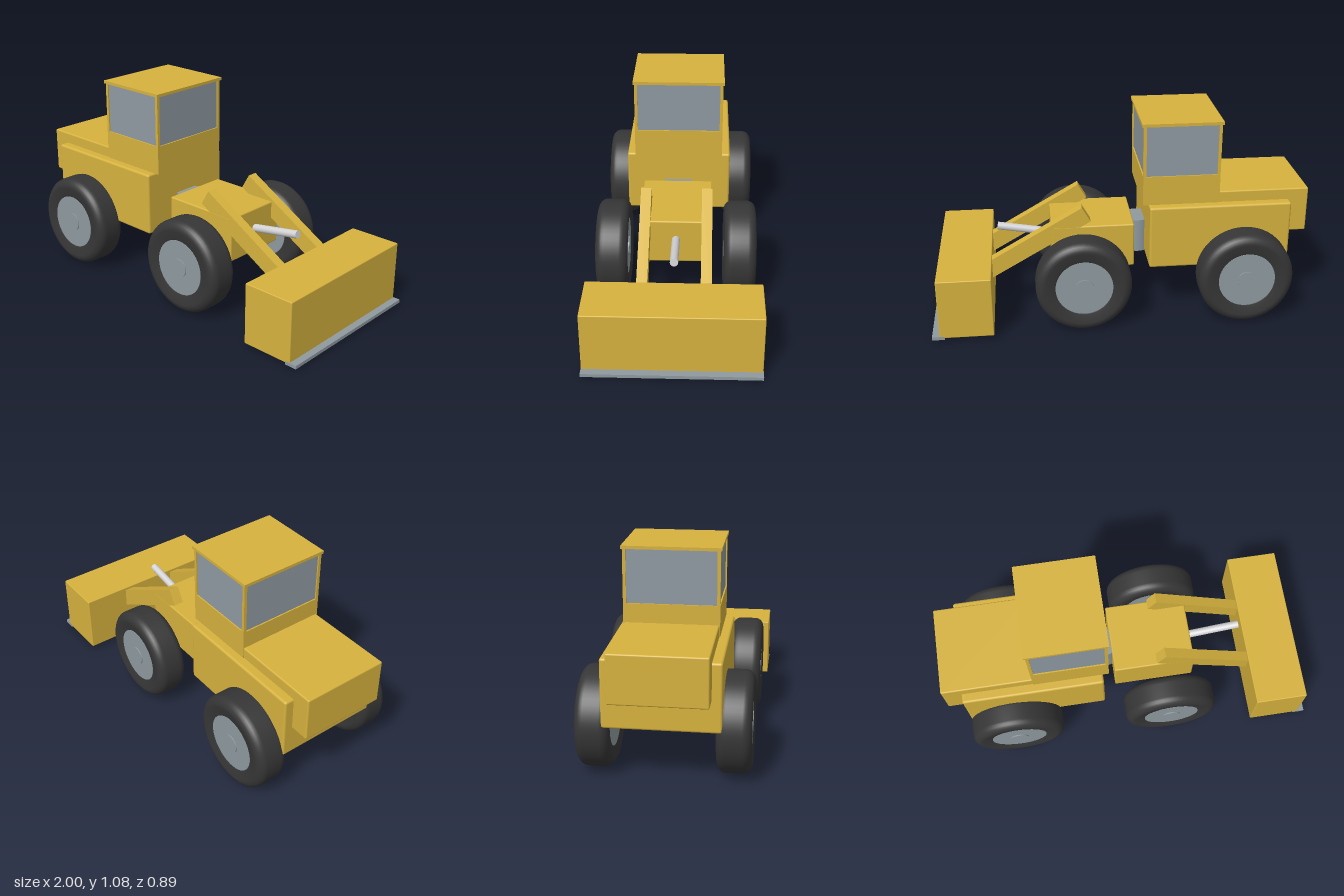
import * as THREE from 'three';
import { RoundedBoxGeometry } from 'three/addons/geometries/RoundedBoxGeometry.js';

const paint = (name, color) => {
  const m = new THREE.MeshStandardMaterial({ color });
  m.name = name;
  return m;
};

export function createModel() {
  const yellow = paint('yellow paint', 0xd6b23e);
  const rubber = paint('black rubber', 0x363636);
  const steel = paint('grey steel', 0x8f9a9f);
  const glass = paint('tinted glass', 0x8f9aa2);
  const chrome = paint('bright rod', 0xd2d2d4);

  const model = new THREE.Group();
  model.name = 'bucketTractor';

  const add = (name, geometry, material, parent = model) => {
    const mesh = new THREE.Mesh(geometry, material);
    mesh.name = name;
    parent.add(mesh);
    return mesh;
  };
  // Box from its x and y limits and half depth; optional rounded edges
  const block = (name, material, x0, x1, y0, y1, halfZ, round = 0) => {
    const size = [x1 - x0, y1 - y0, halfZ * 2];
    const geometry = round
      ? new RoundedBoxGeometry(...size, 3, round)
      : new THREE.BoxGeometry(...size);
    const mesh = add(name, geometry, material);
    mesh.position.set((x0 + x1) / 2, (y0 + y1) / 2, 0);
  };

  // Rear and front halves of the articulated chassis
  block('rearChassis', yellow, -0.9, -0.15, 0.29, 0.635, 0.285, 0.012);
  block('engineHood', yellow, -1, -0.48, 0.45, 0.695, 0.235, 0.008);
  block('frontChassis', yellow, -0.08, 0.36, 0.26, 0.505, 0.188, 0.008);
  const joint = add('articulationJoint', new THREE.CylinderGeometry(0.08, 0.08, 0.185, 32), steel);
  joint.position.set(-0.115, 0.383, 0);

  // Cab: solid base, glazed upper part, corner posts and roof
  block('cabBase', yellow, -0.522, -0.118, 0.635, 0.792, 0.239);
  block('cabGlass', glass, -0.515, -0.125, 0.785, 1.066, 0.232);
  for (const x of [-0.514, -0.126]) {
    for (const z of [-0.231, 0.231]) {
      const post = add('cabPost', new THREE.BoxGeometry(0.016, 0.28, 0.016), yellow);
      post.position.set(x, 0.928, z);
    }
  }
  block('cabRoof', yellow, -0.53, -0.11, 1.064, 1.08, 0.245);

  // Wheels: rounded tyre turned around its axle, rim disc and hub
  const profile = [new THREE.Vector2(0.147, -0.07), new THREE.Vector2(0.155, -0.076)];
  const corner = (cy, a0) => {
    for (let i = 0; i <= 6; i++) {
      const a = a0 + (i / 6) * (Math.PI / 2);
      profile.push(new THREE.Vector2(0.205 + 0.047 * Math.cos(a), cy + 0.045 * Math.sin(a)));
    }
  };
  corner(-0.04, -Math.PI / 2);
  corner(0.04, 0);
  profile.push(new THREE.Vector2(0.155, 0.076), new THREE.Vector2(0.147, 0.07));
  const tyreGeometry = new THREE.LatheGeometry(profile, 56);
  const rimGeometry = new THREE.CylinderGeometry(0.15, 0.15, 0.15, 48);
  const hubGeometry = new THREE.CylinderGeometry(0.05, 0.05, 0.162, 24);
  for (const x of [-0.652, 0.205]) {
    for (const side of [-1, 1]) {
      const wheel = new THREE.Group();
      wheel.name = (x < 0 ? 'rear' : 'front') + (side > 0 ? 'Near' : 'Far') + 'Wheel';
      add('tyre', tyreGeometry, rubber, wheel);
      add('rim', rimGeometry, steel, wheel);
      add('hub', hubGeometry, steel, wheel);
      wheel.rotation.x = Math.PI / 2;
      wheel.position.set(x, 0.256, side * 0.336);
      model.add(wheel);
    }
  }

  // Sloping lift arms reaching into the bucket
  for (const side of [-1, 1]) {
    const arm = add('liftArm', new THREE.BoxGeometry(0.68, 0.092, 0.055), yellow);
    arm.rotation.z = -Math.PI / 6;
    arm.position.set(0.175 + 0.34 * Math.cos(Math.PI / 6), 0.572 - 0.34 * 0.5, side * 0.16);
  }

  // Hydraulic rod rising from the front chassis
  const start = new THREE.Vector3(0.3, 0.386, 0);
  const end = new THREE.Vector3(0.646, 0.446, 0);
  const direction = end.clone().sub(start);
  const rod = add('hydraulicRod', new THREE.CylinderGeometry(0.021, 0.021, direction.length(), 24), chrome);
  rod.position.copy(start).lerp(end, 0.5);
  rod.quaternion.setFromUnitVectors(new THREE.Vector3(0, 1, 0), direction.normalize());

  // Bucket with its cutting edge
  block('bucket', yellow, 0.68, 0.962, 0.022, 0.35, 0.442, 0.005);
  block('cuttingEdge', steel, 0.935, 1, 0.014, 0.032, 0.443);

  return model;
}
